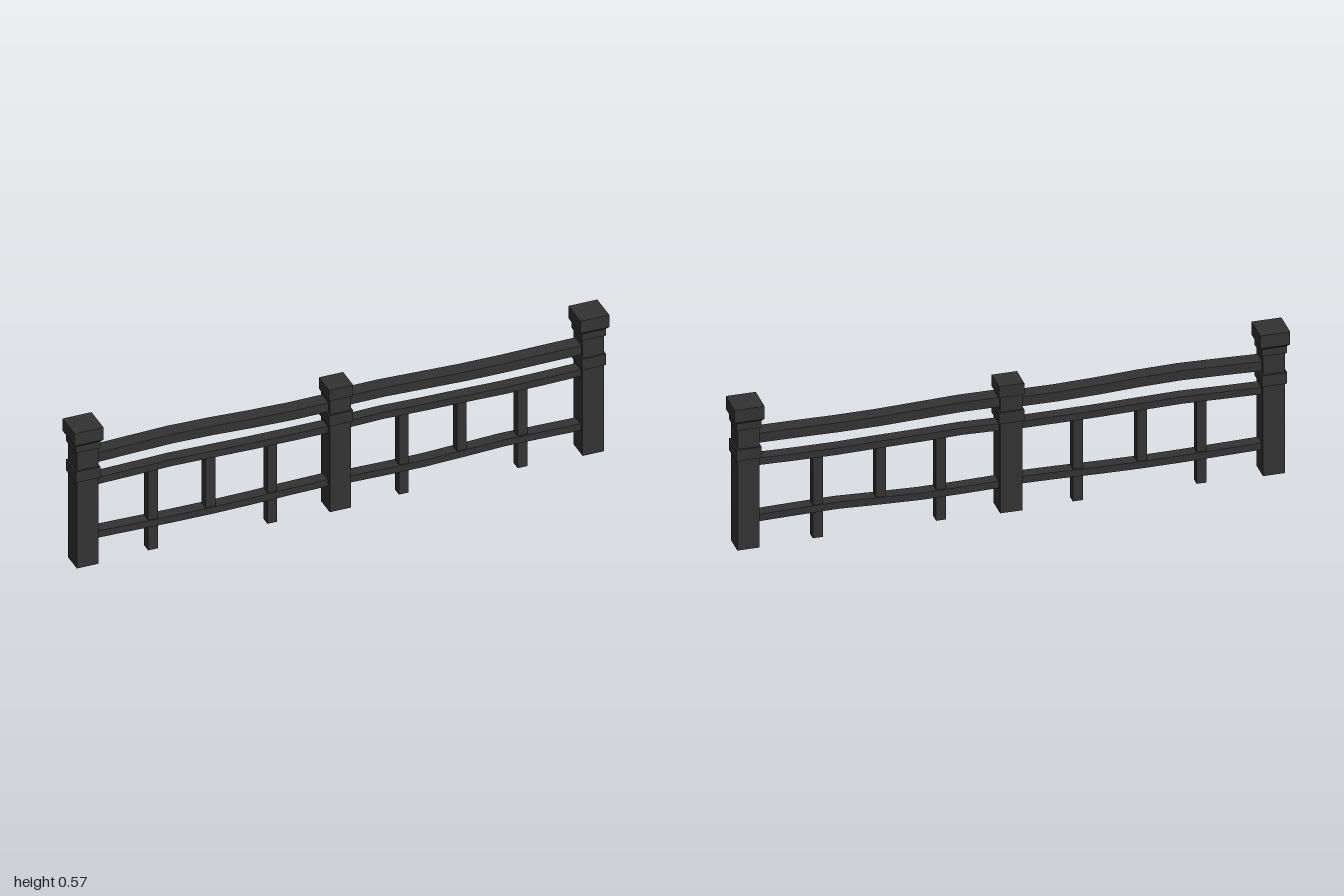
import * as THREE from 'three';

const material = new THREE.MeshStandardMaterial({ color: 0x333333, flatShading: true });

function add(parent, name, geometry, x = 0, y = 0) {
  const mesh = new THREE.Mesh(geometry, material);
  mesh.name = name;
  mesh.position.set(x, y, 0);
  parent.add(mesh);
  return mesh;
}

// Square block between two heights
function block(parent, name, x, width, y0, y1, depth = width) {
  return add(parent, name, new THREE.BoxGeometry(width, y1 - y0, depth), x, (y0 + y1) / 2);
}

// Post with a band, and either a plain cap or a collar with a flared cap
function post(parent, name, x, isEnd) {
  const g = new THREE.Group();
  g.name = name;
  g.position.x = x;
  parent.add(g);
  block(g, 'postShaft', 0, 0.08, 0.006, 0.482);
  block(g, 'postBand', 0, 0.091, 0.36, 0.404);
  if (isEnd) {
    block(g, 'postCollar', 0, 0.091, 0.48, 0.508);
    const flare = new THREE.CylinderGeometry(0.108 / Math.SQRT2, 0.091 / Math.SQRT2, 0.009, 4);
    flare.rotateY(Math.PI / 4);
    add(g, 'capFlare', flare, 0, 0.5125);
    block(g, 'postCap', 0, 0.108, 0.517, 0.567);
  } else {
    block(g, 'postCap', 0, 0.091, 0.463, 0.508);
  }
}

// Slightly sagging beam: centre heights at evenly spaced stations from x0 to x1
function rail(parent, name, x0, x1, height, depth, centres) {
  const n = centres.length - 1;
  const geo = new THREE.BoxGeometry(x1 - x0, height, depth, n, 1, 1);
  const p = geo.attributes.position;
  for (let i = 0; i < p.count; i++) {
    const station = Math.round((p.getX(i) / (x1 - x0) + 0.5) * n);
    p.setY(i, p.getY(i) + centres[station]);
  }
  geo.computeVertexNormals();
  add(parent, name, geo, (x0 + x1) / 2);
}

export function createModel() {
  const fence = new THREE.Group();
  fence.name = 'fence';

  post(fence, 'rightEndPost', -0.946, true);
  post(fence, 'middlePost', 0, false);
  post(fence, 'leftEndPost', 0.946, true);

  // Rails of the right bay
  rail(fence, 'topRail', -0.92, -0.02, 0.037, 0.058, [0.432, 0.437, 0.441, 0.438, 0.431, 0.427, 0.428]);
  rail(fence, 'middleRail', -0.92, -0.02, 0.027, 0.046, [0.333, 0.336, 0.340, 0.337, 0.334, 0.333, 0.333]);
  rail(fence, 'bottomRail', -0.92, -0.02, 0.027, 0.046, [0.115, 0.112, 0.109, 0.108, 0.110, 0.114, 0.116]);

  // Rails of the left bay
  rail(fence, 'topRail', 0.02, 0.92, 0.037, 0.058, [0.438, 0.439, 0.434, 0.429, 0.428, 0.430, 0.431]);
  rail(fence, 'middleRail', 0.02, 0.92, 0.027, 0.046, [0.336, 0.340, 0.336, 0.334, 0.331, 0.332, 0.335]);
  rail(fence, 'bottomRail', 0.02, 0.92, 0.027, 0.046, [0.111, 0.108, 0.107, 0.112, 0.118, 0.116, 0.113]);

  // Long balusters reach the ground, short ones stop at the bottom rail
  for (const x of [-0.692, -0.246, 0.246, 0.69]) block(fence, 'longBaluster', x, 0.036, 0, 0.335);
  for (const x of [-0.477, 0.463]) block(fence, 'shortBaluster', x, 0.036, 0.11, 0.335);

  return fence;
}
